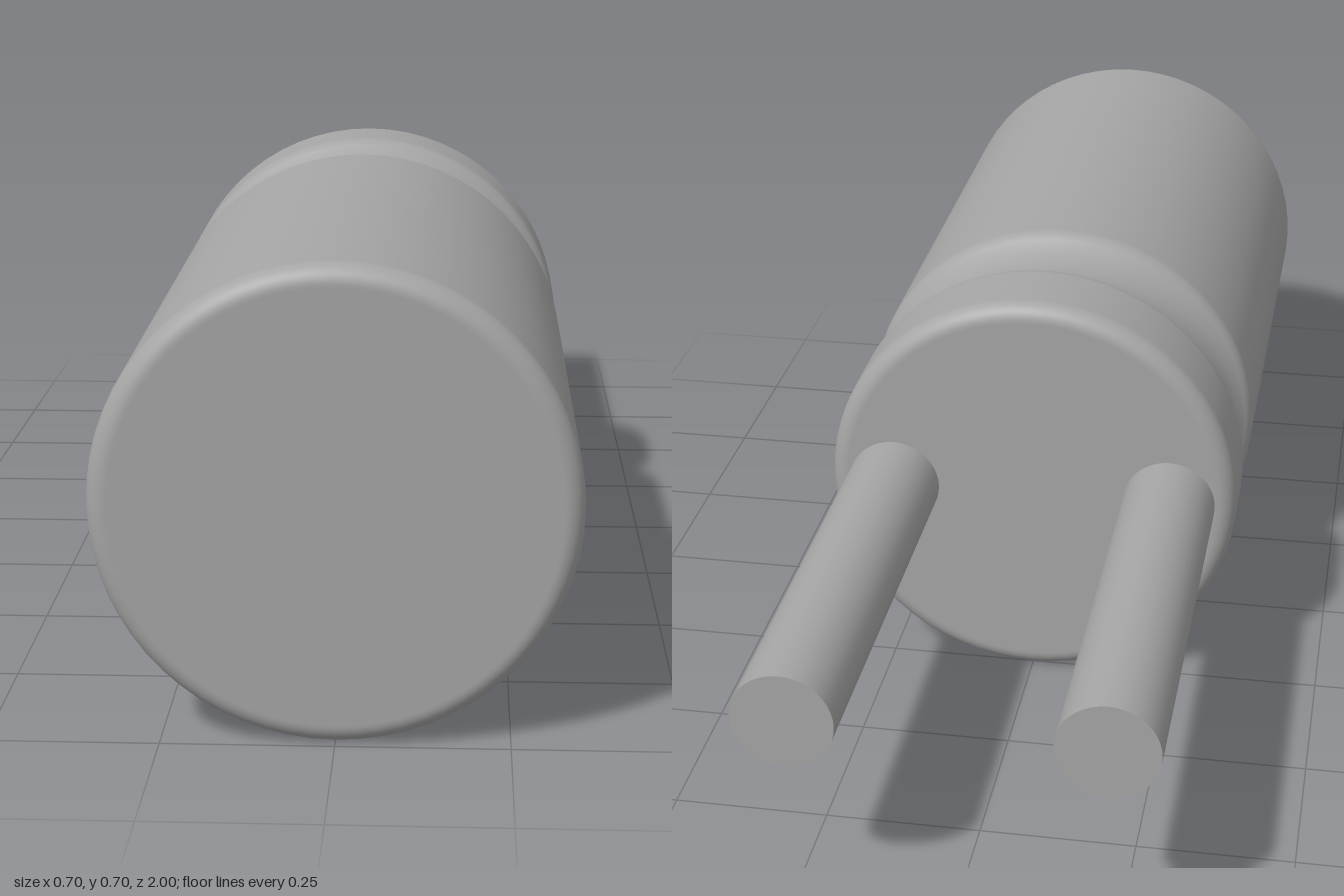
import * as THREE from 'three';

const R = 0.349;          // body radius, also the height of its axis
const BACK = -0.27;       // rear face of the body
const FRONT = 1;          // front face of the body
const LEAD_R = 0.078;

export function createModel() {
  const group = new THREE.Group();
  group.name = 'capacitor';
  const material = new THREE.MeshStandardMaterial({ color: 0xa5a5a5 });

  // Can profile (radius, z): flat ends, rounded rims, crimped groove.
  // Short extra segments beside each curve keep the flat areas evenly shaded.
  const f = 0.03, e = 0.002, g = -0.028;
  const profile = new THREE.Path();
  profile.moveTo(0, BACK);
  profile.lineTo(R - f - e, BACK);
  profile.lineTo(R - f, BACK);
  profile.absarc(R - f, BACK + f, f, -Math.PI / 2, 0, false);
  profile.lineTo(R, BACK + f + e);
  profile.lineTo(R, g - 0.097 - e);
  profile.lineTo(R, g - 0.097);
  profile.quadraticCurveTo(R, g - 0.082, 0.336, g - 0.07);
  profile.bezierCurveTo(0.306, g - 0.042, 0.306, g + 0.042, 0.336, g + 0.07);
  profile.quadraticCurveTo(R, g + 0.082, R, g + 0.097);
  profile.lineTo(R, g + 0.097 + e);
  profile.lineTo(R, FRONT - f - e);
  profile.lineTo(R, FRONT - f);
  profile.absarc(R - f, FRONT - f, f, 0, Math.PI / 2, false);
  profile.lineTo(R - f - e, FRONT);
  profile.lineTo(0, FRONT);

  const can = new THREE.Mesh(new THREE.LatheGeometry(profile.getPoints(8), 64), material);
  can.name = 'can';
  can.rotation.x = Math.PI / 2;
  can.position.y = R;
  group.add(can);

  // Two straight leads from the rear face
  const length = BACK + 1 + 0.01;
  const leadGeometry = new THREE.CylinderGeometry(LEAD_R, LEAD_R, length, 40);
  leadGeometry.rotateX(Math.PI / 2);
  for (const side of [-1, 1]) {
    const lead = new THREE.Mesh(leadGeometry, material);
    lead.name = side > 0 ? 'leftLead' : 'rightLead';
    lead.position.set(side * 0.237, R + 0.002, -1 + length / 2);
    group.add(lead);
  }
  return group;
}
